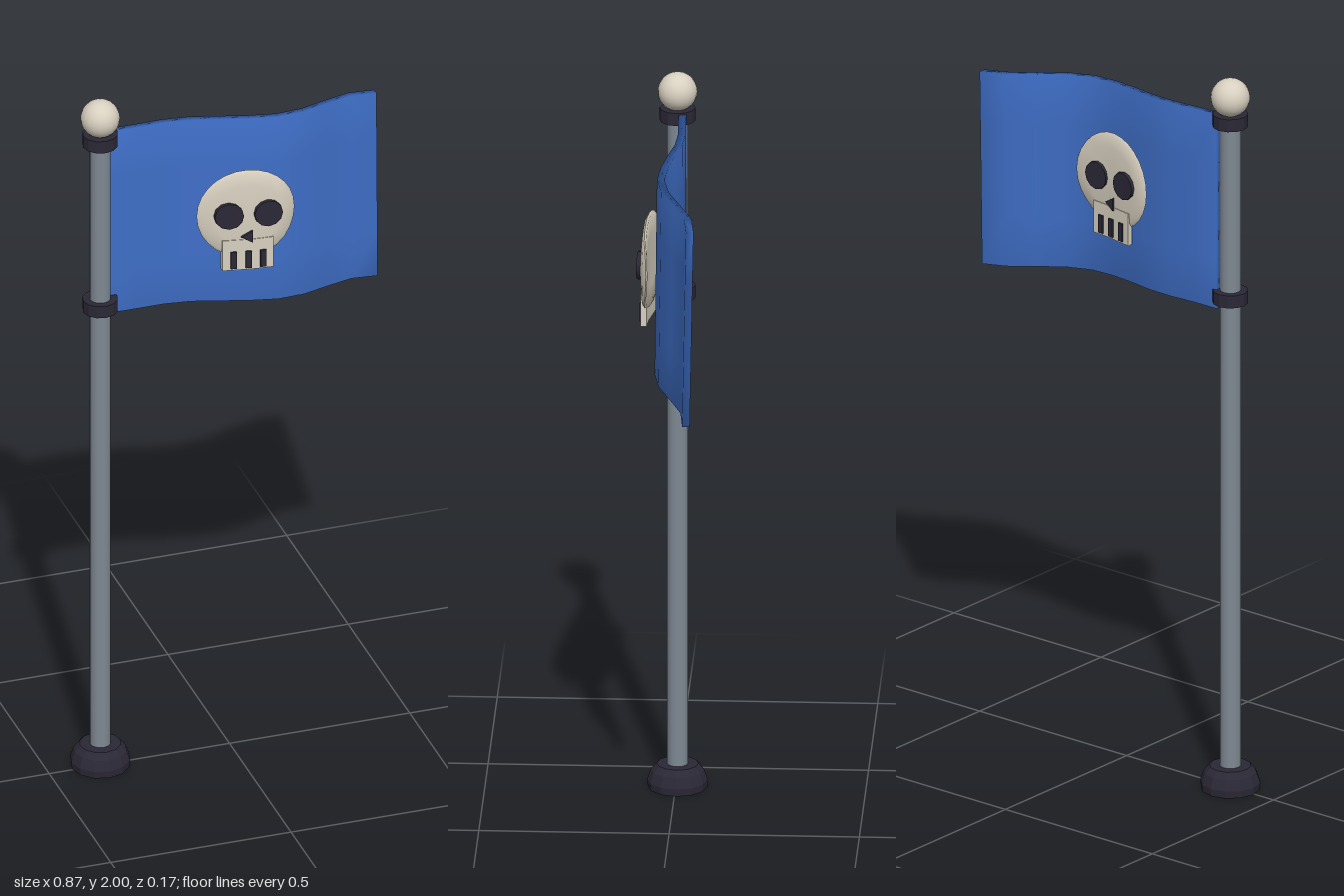
import * as THREE from 'three';
import { mergeVertices, toCreasedNormals } from 'three/addons/utils/BufferGeometryUtils.js';

const paint = (name, color) => Object.assign(new THREE.MeshStandardMaterial({ color }), { name });

const POLE_X = -0.357, POLE_Z = -0.005;
const FLAG_X = -0.33, FLAG_W = 0.76, COLS = 10;
// Depth of the cloth at each column, from the pole outward
const WAVE = [-0.02, -0.021, -0.025, -0.02, -0.004, 0.01, 0.016, 0.001, -0.033, -0.066, -0.075];

function wave(x) {
  const u = THREE.MathUtils.clamp((x - FLAG_X) / FLAG_W, 0, 1) * COLS;
  const i = Math.min(Math.floor(u), COLS - 1);
  return THREE.MathUtils.lerp(WAVE[i], WAVE[i + 1], u - i);
}

function moveVertices(geo, rule) {
  const p = geo.attributes.position, v = new THREE.Vector3();
  for (let i = 0; i < p.count; i++) {
    rule(v.fromBufferAttribute(p, i));
    p.setXYZ(i, v.x, v.y, v.z);
  }
  return geo;
}

export function createModel() {
  const group = new THREE.Group();
  group.name = 'flagpole';
  const steel = paint('steel', 0x7f8993);
  const dark = paint('darkMetal', 0x2b2836);
  const bone = paint('bone', 0xd8d0c0);
  const blue = paint('blueCloth', 0x3f6fc8);

  const add = (parent, name, geo, mat, x = 0, y = 0, z = 0) => {
    const mesh = new THREE.Mesh(geo, mat);
    mesh.name = name;
    mesh.position.set(x, y, z);
    parent.add(mesh);
  };
  const lathe = (pts, sides) =>
    new THREE.LatheGeometry(pts.map(([r, y]) => new THREE.Vector2(r, y)), sides);

  // Pole, chamfered foot, ball and the two collars
  add(group, 'pole', new THREE.CylinderGeometry(0.028, 0.028, 1.88, 12), steel, POLE_X, 0.96, POLE_Z);
  const foot = lathe([[0, 0], [0.078, 0], [0.08, 0.02], [0.07, 0.048], [0.055, 0.065], [0, 0.065]], 12);
  add(group, 'base', toCreasedNormals(foot, 0.3), dark, POLE_X, 0, POLE_Z);
  add(group, 'ball', new THREE.SphereGeometry(0.052, 20, 14), bone, POLE_X, 1.948, POLE_Z);
  for (const y of [1.885, 1.388]) {
    const ring = toCreasedNormals(new THREE.CylinderGeometry(0.047, 0.047, 0.035, 12), 0.3);
    add(group, 'collar', ring, dark, POLE_X, y, POLE_Z);
  }

  // Waving cloth with soft rims, drooping towards its free end
  let cloth = new THREE.BoxGeometry(FLAG_W, 0.545, 0.02, COLS, 4, 1);
  cloth.translate(FLAG_X + FLAG_W / 2, 1.625, 0);
  cloth.deleteAttribute('normal');
  cloth.deleteAttribute('uv');
  cloth = mergeVertices(cloth);
  moveVertices(cloth, (v) => {
    const t = (v.x - FLAG_X) / FLAG_W, down = (1.8975 - v.y) / 0.545;
    v.z += wave(v.x) + 0.01 * t * down;
    v.y -= 0.05 * t * t;
  });
  cloth.computeVertexNormals();
  add(group, 'flag', cloth, blue);

  // Skull emblem on both faces, bent along the cloth
  for (const back of [false, true]) {
    const emblem = new THREE.Group();
    emblem.name = back ? 'backSkull' : 'frontSkull';
    group.add(emblem);
    const place = (name, geo, mat, x, y, z, crease = 0.6) => {
      geo.translate(x, y, z);
      if (back) geo.rotateY(Math.PI);
      geo.translate(0.031, 1.62, 0);
      moveVertices(geo, (v) => { v.z += wave(v.x) + 0.0125; });
      add(emblem, name, toCreasedNormals(geo, crease), mat);
    };

    const cranium = lathe([[0, 0], [0.07, 0], [0.125, 0], [0.131, 0.005],
      [0.122, 0.011], [0.09, 0.015], [0.045, 0.017], [0, 0.018]], 28);
    place('cranium', cranium.rotateX(Math.PI / 2), bone, 0, 0, 0.027, 1.2);
    place('jaw', new THREE.BoxGeometry(0.135, 0.09, 0.016, 6, 1, 1), bone, 0, -0.117, 0.036);
    for (const s of [-1, 1]) {
      const eye = new THREE.CylinderGeometry(0.038, 0.038, 0.018, 12).rotateX(Math.PI / 2);
      place('eyeSocket', eye, dark, s * 0.052, 0.004, 0.044);
    }
    const tri = new THREE.Shape([[-0.02, 0], [0.01, -0.018], [0.01, 0.018]].map(([x, y]) => new THREE.Vector2(x, y)));
    const nose = new THREE.ExtrudeGeometry(tri, { depth: 0.012, bevelEnabled: false });
    place('nose', nose, dark, 0, -0.062, 0.038);
    for (const x of [-0.039, 0, 0.039]) {
      place('toothGap', new THREE.BoxGeometry(0.016, 0.05, 0.012), dark, x, -0.131, 0.043);
    }
  }
  return group;
}
